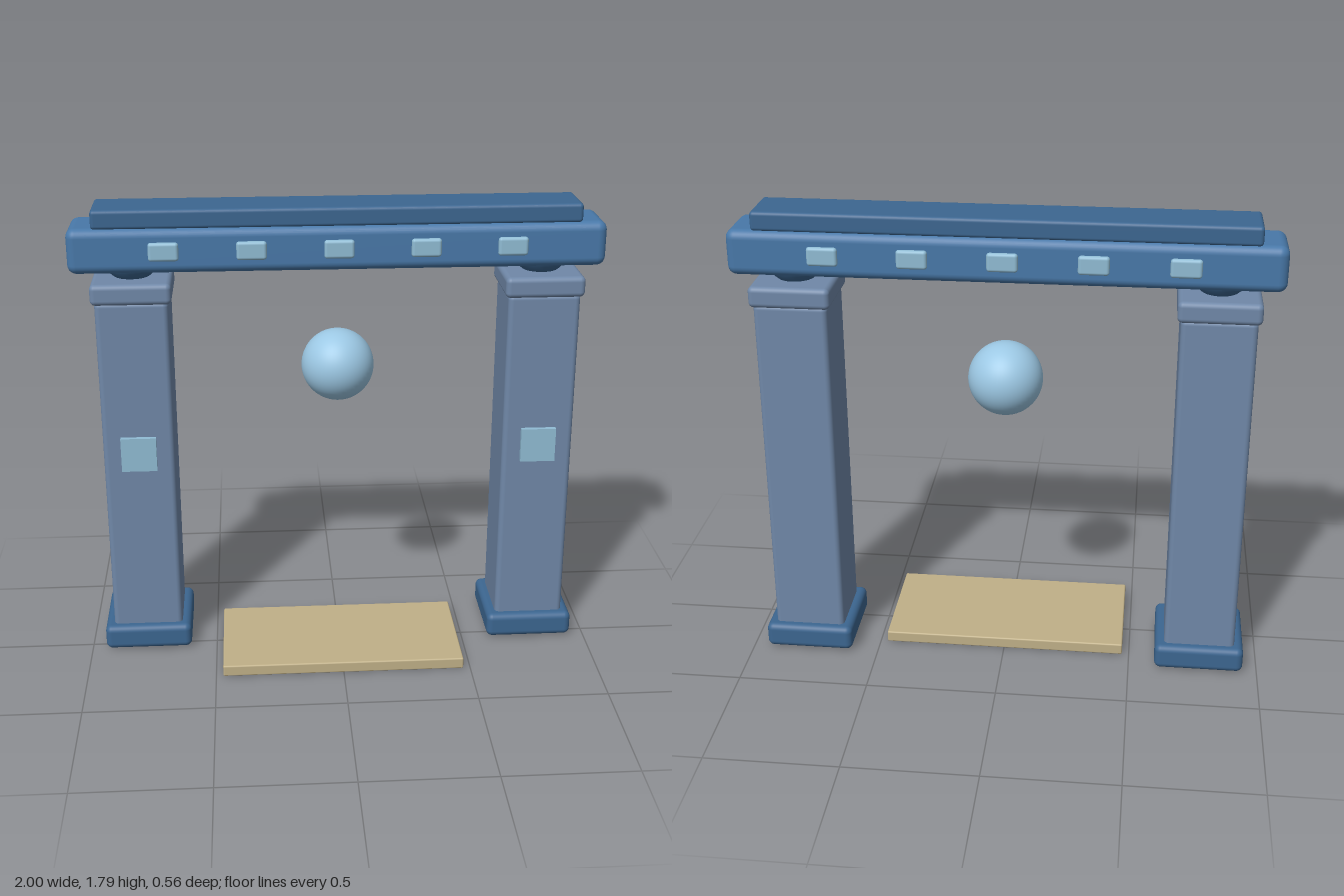
import * as THREE from 'three';
import { RoundedBoxGeometry } from 'three/addons/geometries/RoundedBoxGeometry.js';

const mat = (color) => new THREE.MeshStandardMaterial({ color });
const stone = mat(0x7088a8), blue = mat(0x4878a8), darkBlue = mat(0x3c6690);
const glow = mat(0x9cc8e4), pale = mat(0x90bcd4), sand = mat(0xc0b088);

const Z = -0.112; // depth centre of the gate

function add(parent, name, geometry, material, x, y, z) {
  const mesh = new THREE.Mesh(geometry, material);
  mesh.name = name;
  mesh.position.set(x, y, z);
  parent.add(mesh);
}

// Rounded block standing between heights y0 and y1
function block(parent, name, w, y0, y1, d, r, material, x = 0, z = Z) {
  const geometry = new RoundedBoxGeometry(w, y1 - y0, d, 4, r);
  add(parent, name, geometry, material, x, (y0 + y1) / 2, z);
}

export function createModel() {
  const gate = new THREE.Group();
  gate.name = 'gate';

  // Pillars with base, capital, bearing ball and front plaque
  for (const side of [-1, 1]) {
    const pillar = new THREE.Group();
    pillar.name = side > 0 ? 'leftPillar' : 'rightPillar';
    pillar.position.x = side * 0.772;
    block(pillar, 'base', 0.343, 0.007, 0.107, 0.343, 0.025, darkBlue);
    block(pillar, 'shaft', 0.273, 0.06, 1.45, 0.275, 0.02, stone);
    block(pillar, 'capital', 0.3, 1.44, 1.52, 0.3, 0.02, stone);
    add(pillar, 'bearing', new THREE.SphereGeometry(0.115, 32, 20), darkBlue, 0, 1.612, Z);
    add(pillar, 'plaque', new THREE.BoxGeometry(0.135, 0.135, 0.04), pale, 0, 0.848, 0.024);
    gate.add(pillar);
  }

  // Crossbeam and top slab
  block(gate, 'crossbeam', 2, 1.55, 1.72, 0.234, 0.034, blue);
  block(gate, 'topSlab', 1.815, 1.715, 1.787, 0.204, 0.014, darkBlue);

  // Inlaid studs on both faces of the beam
  for (let i = -2; i <= 2; i++) {
    for (const face of [-1, 1]) {
      block(gate, 'stud', 0.112, 1.6, 1.67, 0.036, 0.012, pale, i * 0.323, Z + face * 0.112);
    }
  }

  // Floating orb and ground slab
  add(gate, 'orb', new THREE.SphereGeometry(0.14, 48, 32), glow, 0, 1.147, Z);
  block(gate, 'step', 0.945, 0, 0.045, 0.468, 0.006, sand, 0, 0.046);

  return gate;
}
